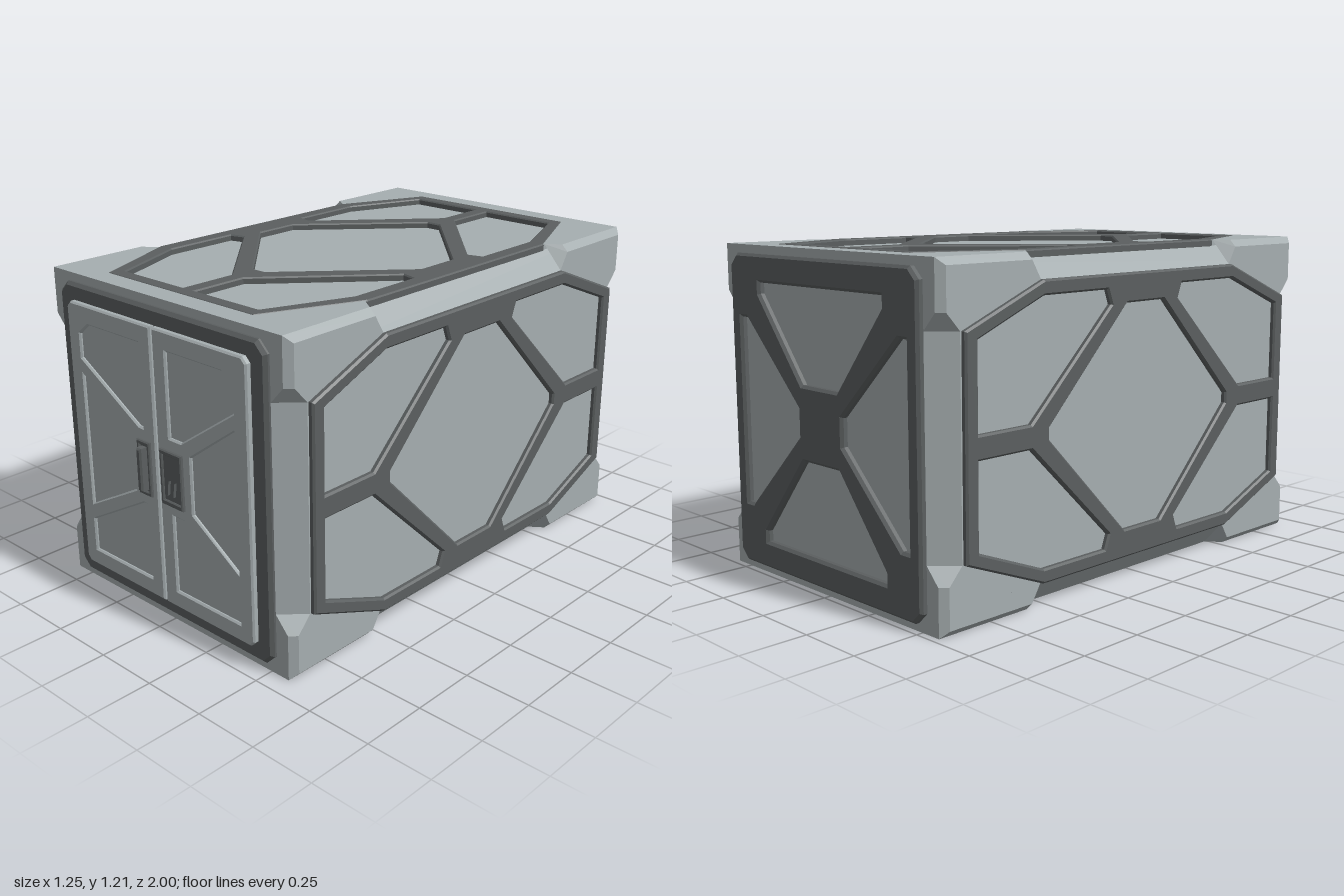
import * as THREE from 'three';
import { ConvexGeometry } from 'three/addons/geometries/ConvexGeometry.js';

const light = new THREE.MeshStandardMaterial({ color: 0xa6aeb0 });
light.name = 'light grey panel';
const dark = new THREE.MeshStandardMaterial({ color: 0x5b5f60 });
dark.name = 'dark grey frame';

// Half width, height, half length, edge chamfer, small corner chamfer
const A = 0.605, H = 1.21, C = 0.95, D = 0.08, E = 0.025, MID = H / 2;

const pts = (list) => list.map(([x, y]) => new THREE.Vector2(x, y));
const flipX = (list) => list.map(([x, y]) => [-x, y]);
const flipY = (list) => list.map(([x, y]) => [x, -y]);
const quads = (list) => [list, flipX(list), flipY(list), flipX(flipY(list))];
const octagon = (x, y, x2, y2) => [[x, y2], [x2, y], [-x2, y], [-x, y2], [-x, -y2], [-x2, -y], [x2, -y], [x, -y2]];
const rect = (x0, x1, y0, y1) => [[x0, y0], [x1, y0], [x1, y1], [x0, y1]];

// Plate facing +z, from z0 to z1, with bevelled rims and holes
function plate(outline, holes, z0, z1, bevel = 0) {
  const shape = new THREE.Shape(pts(outline));
  shape.holes = holes.map((h) => new THREE.Path(pts(h)));
  const geo = new THREE.ExtrudeGeometry(shape, {
    depth: z1 - z0 - 2 * bevel, bevelEnabled: bevel > 0, bevelSegments: 1,
    bevelSize: bevel, bevelThickness: bevel, bevelOffset: -bevel,
  });
  return geo.translate(0, 0, z0 + bevel);
}

export function createModel() {
  const root = new THREE.Group();
  root.name = 'cargoContainer';
  const body = new THREE.Group();
  body.name = 'container';
  body.position.z = -0.025;
  root.add(body);
  const add = (name, geo, mat, parent = body) => {
    const m = new THREE.Mesh(geo, mat);
    m.name = name;
    parent.add(m);
    return m;
  };

  // Core with chamfered long and upright edges; its top is the recessed roof panel
  const core = [];
  for (const sx of [1, -1]) for (const sz of [1, -1]) {
    core.push(
      [sx * (A - D), 0, sz * C], [sx * A, 0.09, sz * (C - D)],
      [sx * A, H - 0.09, sz * (C - D)], [sx * (A - D), 1.188, sz * C]);
  }
  add('core', new ConvexGeometry(core.map((p) => new THREE.Vector3(...p))), light);

  // Eight corner blocks filling the chamfers
  const block = [
    [A - D, MID, C], [A - E, MID, C], [A - E, MID, 0.555], [A - D, MID, 0.515],
    [A, MID - E, C - E], [A, MID - E, 0.555], [A, MID - 0.09, 0.515],
    [A, 0.375, C - D], [A, 0.435, C - E], [A - E, 0.435, C], [A - D, 0.375, C],
  ];
  for (const sx of [1, -1]) for (const sy of [1, -1]) for (const sz of [1, -1]) {
    const geo = new ConvexGeometry(block.map(([x, y, z]) => new THREE.Vector3(sx * x, MID + sy * y, sz * z)));
    add('cornerBlock', geo, light);
  }

  // Roof rim and lattice frame
  const roofRim = plate(rect(-A + D, A - D, -C, C), [octagon(0.52, 0.865, 0.365, 0.5)], 1.17, H);
  add('roofRim', roofRim.rotateX(-Math.PI / 2), light);
  const roofHoles = [
    octagon(0.41, 0.49, 0.03, 0.09),
    ...quads([[0.465, 0.2], [0.465, 0.5], [0.34, 0.815], [0.03, 0.815], [0.03, 0.595], [0.41, 0.185]]),
  ];
  const roofFrame = plate(octagon(0.528, 0.87, 0.37, 0.505), roofHoles, 1.17, H + 0.002, 0.005);
  add('roofFrame', roofFrame.rotateX(-Math.PI / 2), dark);

  // Side lattice frames
  const sideHoles = [
    octagon(0.49, 0.41, 0.1, 0.02),
    ...quads([[0.81, 0.042], [0.81, 0.345], [0.515, 0.463], [0.205, 0.463], [0.185, 0.41], [0.575, 0.042]]),
  ];
  for (const s of [1, -1]) {
    const geo = plate(octagon(0.865, 0.515, 0.515, 0.375), sideHoles, 0.585, 0.625, 0.007);
    add(s > 0 ? 'leftSideFrame' : 'rightSideFrame', geo.rotateY(s * Math.PI / 2).translate(0, MID, 0), dark);
  }

  // Back cross-braced frame
  const topHole = [[-0.345, 0.475], [-0.345, 0.435], [-0.1, 0.135], [0.1, 0.135], [0.345, 0.435], [0.345, 0.475]];
  const sideHole = [[-0.465, 0.345], [-0.43, 0.345], [-0.125, 0.05], [-0.125, -0.05], [-0.43, -0.345], [-0.465, -0.345]];
  const endOutline = octagon(0.525, 0.575, 0.485, 0.535);
  const back = plate(endOutline, [topHole, flipY(topHole), sideHole, flipX(sideHole)], 0.93, 0.975, 0.01);
  add('backFrame', back.rotateY(Math.PI).translate(0, MID, 0), dark);

  // Front door surround
  add('doorSurround', plate(endOutline, [], 0.93, 0.97, 0.012).translate(0, MID, 0), dark);

  // Two door leaves with sunken panels, drawn for the left leaf (+x)
  for (const s of [1, -1]) {
    const door = new THREE.Group();
    door.name = s > 0 ? 'leftDoor' : 'rightDoor';
    body.add(door);
    const inner = s > 0 ? 0.13 : 0.09;
    const mid = s > 0 ? 0.175 : 0.13;
    const turn = (list) => (s > 0 ? list : flipX(list));
    const outline = turn([[0.005, 0.09], [0.44, 0.09], [0.46, 0.11], [0.46, 1.1], [0.44, 1.12], [0.005, 1.12]]);
    const panels = [
      [[0.07, 1.05], [0.345, 1.05], [0.395, 1.01], [0.395, 0.92], [inner, 0.742], [0.07, 0.742]],
      [[0.395, 0.858], [0.395, 0.348], [mid, 0.49], [mid, 0.7]],
      [[0.07, 0.45], [inner, 0.45], [0.395, 0.283], [0.395, 0.157], [0.07, 0.157]],
    ].map(turn);
    add('doorBacking', plate(outline, [], 0.96, 0.98), light, door);
    add('doorLeaf', plate(outline, panels, 0.965, 0.991, 0.006), light, door);
  }

  // Pull handle on the right door
  const handle = new THREE.Group();
  handle.name = 'pullHandle';
  body.add(handle);
  add('handlePlate', plate(rect(-0.098, -0.03, 0.492, 0.698), [rect(-0.084, -0.044, 0.508, 0.682)], 0.985, 1.002, 0.004), dark, handle);
  add('handleBase', plate(rect(-0.09, -0.038, 0.5, 0.69), [], 0.985, 0.995), dark, handle);
  add('handleGrip', plate(rect(-0.075, -0.05, 0.515, 0.677), [], 0.985, 1.025, 0.006), dark, handle);

  // Lock pad on the left door
  const lock = new THREE.Group();
  lock.name = 'lockPad';
  body.add(lock);
  add('lockPlate', plate(rect(0.026, 0.137, 0.492, 0.698), [rect(0.04, 0.125, 0.512, 0.68)], 0.985, 1.004, 0.004), dark, lock);
  add('lockFace', plate(rect(0.035, 0.13, 0.5, 0.69), [], 0.985, 0.997), dark, lock);
  for (const x of [0.067, 0.097]) {
    add('lockKey', plate([[x - 0.006, 0.575], [x, 0.535], [x + 0.008, 0.59]], [], 0.99, 1.008), dark, lock);
  }
  return root;
}
